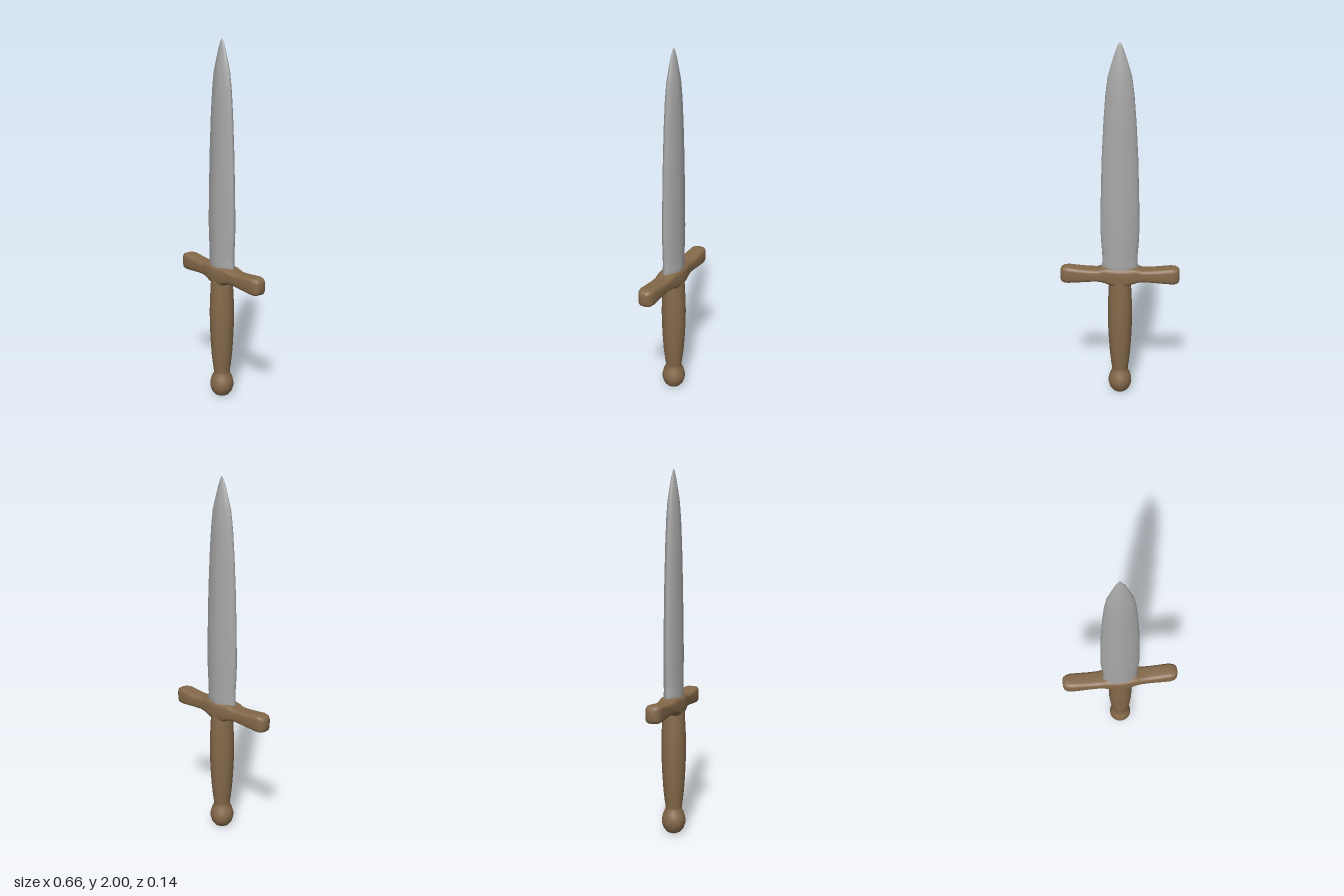
import * as THREE from 'three';

const SEGMENTS = 24;

// Skin closed rings stacked along y. Each section: [y, halfX, halfZ, offsetX].
// power 1 is an ellipse, above 1 is a pointed lens, below 1 a rounded box.
function loft(sections, power) {
  const bend = (v) => Math.sign(v) * Math.pow(Math.abs(v), power);
  const positions = [], index = [];
  sections.forEach(([y, hx, hz, cx = 0], r) => {
    for (let s = 0; s < SEGMENTS; s++) {
      const a = (s / SEGMENTS) * Math.PI * 2;
      positions.push(cx + hx * bend(Math.cos(a)), y, hz * bend(Math.sin(a)));
      if (r === 0) continue;
      const n = (s + 1) % SEGMENTS, lo = (r - 1) * SEGMENTS, hi = r * SEGMENTS;
      index.push(lo + s, hi + s, lo + n, lo + n, hi + s, hi + n);
    }
  });
  const geometry = new THREE.BufferGeometry();
  geometry.setAttribute('position', new THREE.Float32BufferAttribute(positions, 3));
  geometry.setIndex(index);
  geometry.computeVertexNormals();
  return geometry;
}

export function createModel() {
  const group = new THREE.Group();
  const steel = new THREE.MeshStandardMaterial({ color: 0xa8a8a8 });
  steel.name = 'steel';
  const wood = new THREE.MeshStandardMaterial({ color: 0x84694a });
  wood.name = 'wood';
  const add = (name, geometry, material) => {
    const mesh = new THREE.Mesh(geometry, material);
    mesh.name = name;
    group.add(mesh);
  };

  // Lens-section blade, slightly waisted above the guard
  add('blade', loft([
    [0.74, 0.09, 0.045], [0.78, 0.104, 0.051], [0.81, 0.097, 0.05], [0.86, 0.098, 0.05],
    [0.94, 0.104, 0.05], [1.02, 0.107, 0.05], [1.2, 0.103, 0.048], [1.4, 0.097, 0.045],
    [1.6, 0.086, 0.041], [1.74, 0.075, 0.036], [1.83, 0.063, 0.03], [1.89, 0.045, 0.022],
    [1.95, 0.026, 0.013], [1.985, 0.012, 0.006], [1.997, 0.005, 0.003], [2, 0, 0],
  ], 1.2), steel);

  // Cross guard: one half as [x, bottom, top, halfDepth], mirrored to the other
  const half = [
    [0, 0.675, 0.787, 0.062], [0.05, 0.68, 0.787, 0.057], [0.075, 0.692, 0.787, 0.054],
    [0.1, 0.699, 0.782, 0.051], [0.125, 0.702, 0.774, 0.048], [0.17, 0.7, 0.774, 0.047],
    [0.23, 0.695, 0.78, 0.047], [0.285, 0.691, 0.786, 0.047], [0.31, 0.691, 0.784, 0.041],
    [0.325, 0.697, 0.778, 0.031], [0.331, 0.71, 0.765, 0.018], [0.332, 0.737, 0.737, 0],
  ];
  const section = (side) => ([x, lo, hi, hz]) => [side * x, (hi - lo) / 2, hz, -(hi + lo) / 2];
  const guard = loft([...half.slice(1).reverse().map(section(-1)), ...half.map(section(1))], 0.5);
  add('crossGuard', guard.rotateZ(-Math.PI / 2), wood);

  // Round grip and pommel, turned as one piece
  const profile = [
    [0, 0], [0.025, 0.002], [0.042, 0.012], [0.057, 0.032], [0.066, 0.06], [0.066, 0.085],
    [0.058, 0.115], [0.046, 0.138], [0.046, 0.155], [0.051, 0.19], [0.058, 0.25],
    [0.064, 0.34], [0.068, 0.43], [0.069, 0.51], [0.067, 0.58], [0.063, 0.66],
    [0.061, 0.7], [0.058, 0.74], [0.045, 0.775], [0, 0.78],
  ].map(([r, y]) => new THREE.Vector2(r, y));
  add('gripAndPommel', new THREE.LatheGeometry(profile, SEGMENTS), wood);

  return group;
}
